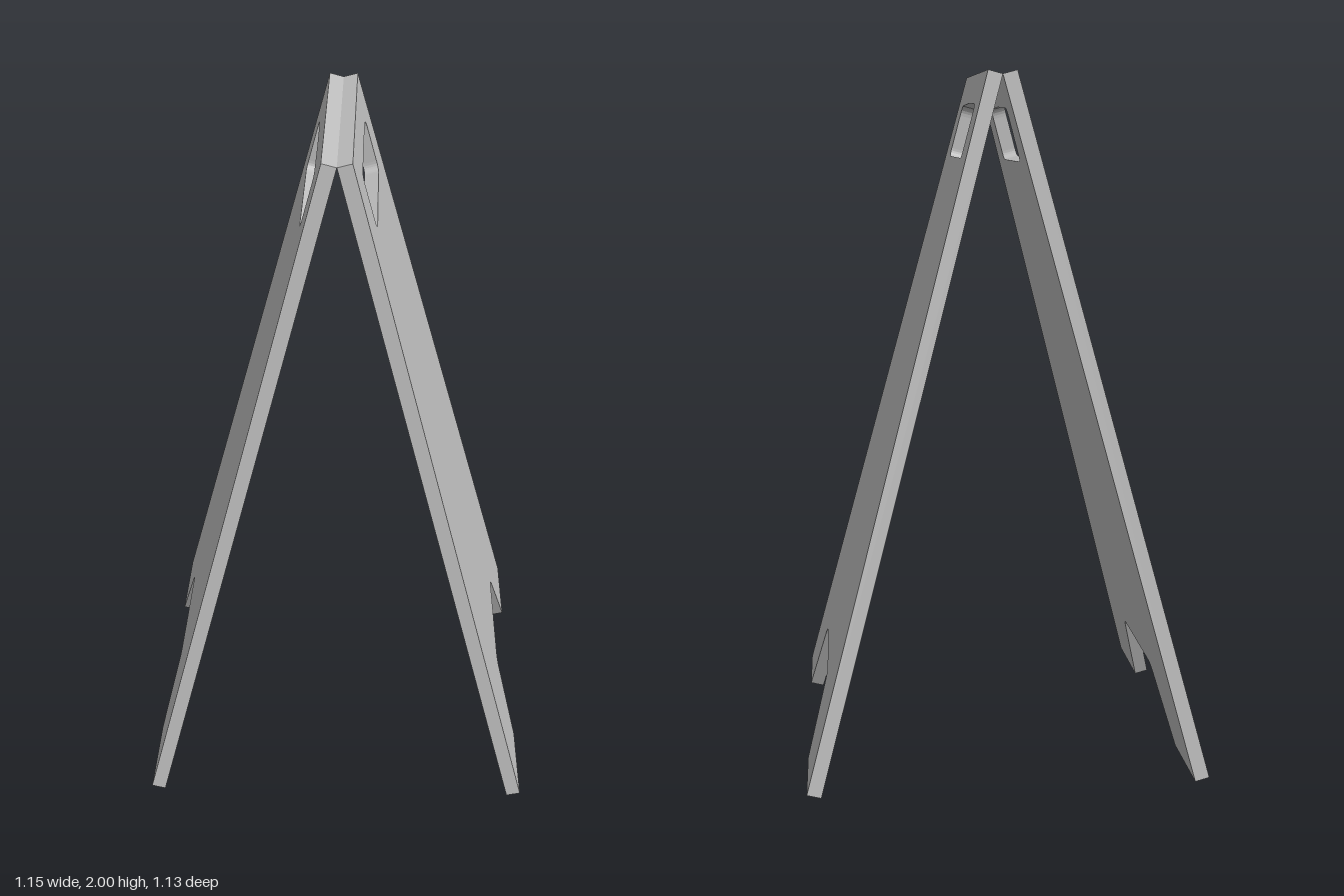
import * as THREE from 'three';

const TILT = THREE.MathUtils.degToRad(15);
const LENGTH = 2.059;
const THICKNESS = 0.042;

// Trace a closed outline of [x, y, cornerRadius], rounding each corner
function trace(path, corners) {
  const n = corners.length;
  corners.forEach(([x, y, r], i) => {
    const corner = new THREE.Vector2(x, y);
    const toward = ([px, py]) => new THREE.Vector2(px, py).sub(corner).setLength(r).add(corner);
    const a = toward(corners[(i + n - 1) % n]);
    const b = toward(corners[(i + 1) % n]);
    if (i === 0) path.moveTo(a.x, a.y);
    else path.lineTo(a.x, a.y);
    if (r > 0) path.quadraticCurveTo(x, y, b.x, b.y);
  });
  path.closePath();
  return path;
}

// Tapered board with a foot cutout and a hand hole; its top edge is at y = 0
function panelGeometry() {
  const shape = trace(new THREE.Shape(), [
    [-0.336, 0, 0], [-0.563, -LENGTH, 0],
    [-0.305, -LENGTH, 0], [-0.205, -1.822, 0.03],
    [0.205, -1.822, 0.03], [0.305, -LENGTH, 0],
    [0.563, -LENGTH, 0], [0.336, 0, 0],
  ]);
  shape.holes.push(trace(new THREE.Path(), [
    [-0.206, -0.25, 0.025], [0.206, -0.25, 0.025],
    [0.206, -0.093, 0.03], [0, -0.088, 0], [-0.206, -0.093, 0.03],
  ]));
  return new THREE.ExtrudeGeometry(shape, { depth: THICKNESS, bevelEnabled: false, curveSegments: 6 })
    .rotateX(-TILT)
    .translate(0, LENGTH * Math.cos(TILT), 0);
}

export function createModel() {
  const model = new THREE.Group();
  model.name = 'foldingFloorSign';
  const grey = new THREE.MeshStandardMaterial({ color: 0xc0c0c0 });
  grey.name = 'light grey';

  // Two boards leaning together at the top
  for (const [name, side] of [['leftPanel', 1], ['rightPanel', -1]]) {
    const panel = new THREE.Mesh(panelGeometry(), grey);
    panel.name = name;
    panel.rotation.y = side * Math.PI / 2;
    model.add(panel);
  }
  return model;
}
